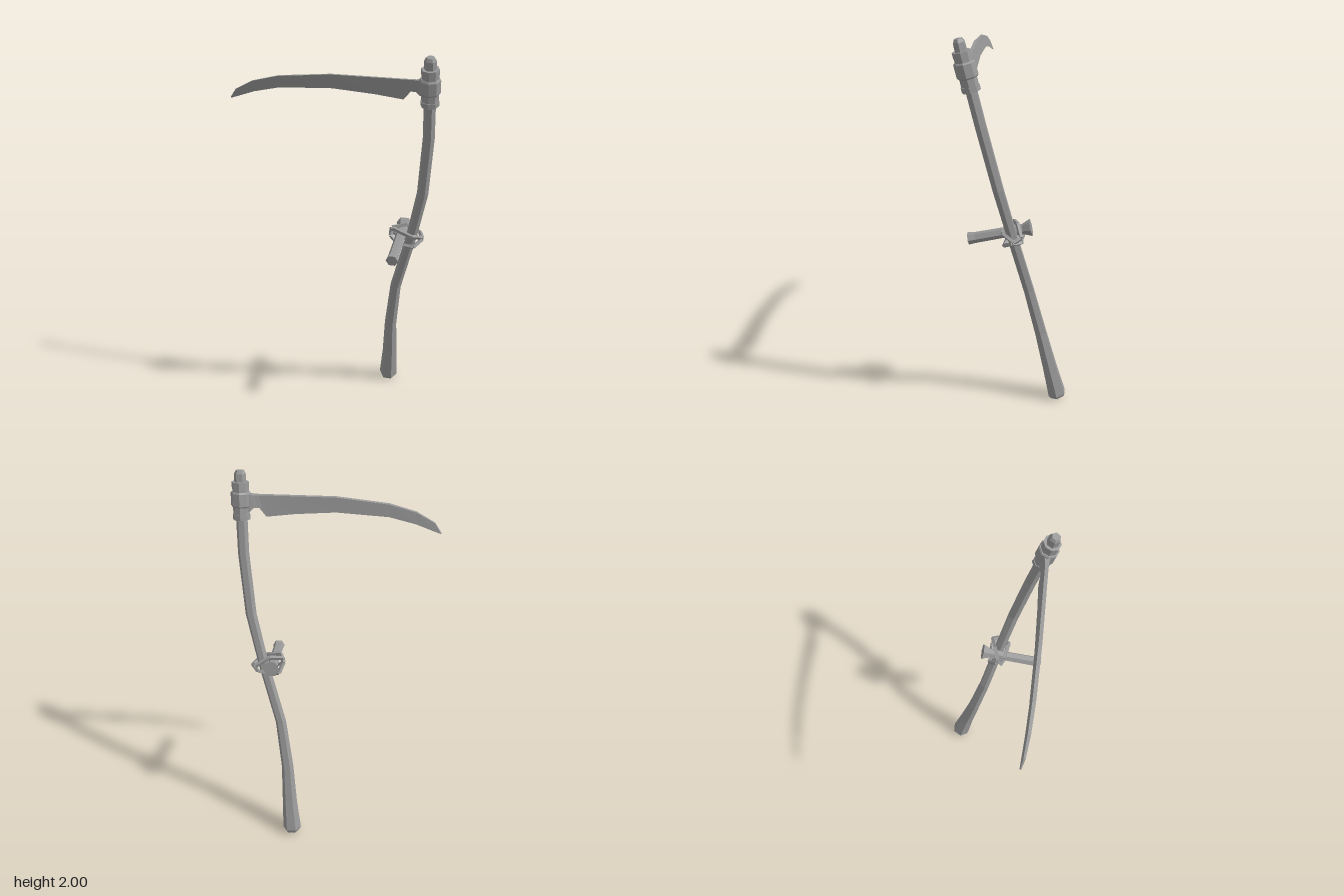
import * as THREE from 'three';

const mat = new THREE.MeshStandardMaterial({ color: 0x999999, flatShading: true });

// The whole tool leans forward: depth grows with height
const leanZ = (y) => -0.219 + (y - 0.02) * 0.2295;

function mesh(name, geometry) {
  geometry.computeVertexNormals();
  const m = new THREE.Mesh(geometry, mat);
  m.name = name;
  return m;
}

// Skin a list of equal closed rings and cap both ends
function skin(rings) {
  const n = rings[0].length;
  const pos = rings.flat().flatMap((p) => p.toArray());
  const idx = [];
  for (let r = 0; r < rings.length - 1; r++) {
    for (let i = 0; i < n; i++) {
      const a = r * n + i, b = r * n + (i + 1) % n;
      idx.push(a, b, b + n, a, b + n, a + n);
    }
  }
  const last = (rings.length - 1) * n;
  for (let i = 1; i < n - 1; i++) {
    idx.push(0, i + 1, i, last, last + i, last + i + 1);
  }
  const g = new THREE.BufferGeometry();
  g.setAttribute('position', new THREE.Float32BufferAttribute(pos, 3));
  g.setIndex(idx);
  return g;
}

// Polygonal bar through stations [x, y, z, radius]
function bar(stations, sides = 6) {
  const pts = stations.map((s) => new THREE.Vector3(s[0], s[1], s[2]));
  return skin(pts.map((p, i) => {
    const t = pts[Math.min(i + 1, pts.length - 1)].clone().sub(pts[Math.max(i - 1, 0)]).normalize();
    const u = new THREE.Vector3(1, 0, 0);
    u.addScaledVector(t, -u.dot(t)).normalize();
    const v = t.clone().cross(u);
    return Array.from({ length: sides }, (_, k) => {
      const a = (k / sides) * Math.PI * 2, r = stations[i][3];
      return p.clone().addScaledVector(u, r * Math.cos(a)).addScaledVector(v, r * Math.sin(a));
    });
  }));
}

// Same, for parts that follow the lean: stations [x, y, radius]
const leaningBar = (list, sides) => bar(list.map(([x, y, r]) => [x, y, leanZ(y), r]), sides);

export function createModel() {
  const group = new THREE.Group();

  // Curved wooden shaft with a swollen foot
  group.add(mesh('shaft', leaningBar([
    [0.221, 0.011, 0.04], [0.221, 0.03, 0.05], [0.233, 0.2, 0.04], [0.244, 0.42, 0.032],
    [0.278, 0.69, 0.028], [0.365, 1.02, 0.027], [0.424, 1.29, 0.028],
    [0.453, 1.6, 0.028], [0.457, 1.78, 0.028], [0.459, 1.95, 0.027],
  ])));

  // Metal socket: sleeve, bands and end cap
  const socket = new THREE.Group();
  socket.name = 'socket';
  socket.add(
    mesh('socketSleeve', leaningBar([[0.457, 1.775, 0.04], [0.459, 1.942, 0.04]], 8)),
    mesh('lowerBand', leaningBar([[0.457, 1.766, 0.043], [0.457, 1.79, 0.043]], 8)),
    mesh('middleBand', leaningBar([[0.458, 1.825, 0.044], [0.458, 1.832, 0.049], [0.458, 1.89, 0.049], [0.458, 1.897, 0.044]], 8)),
    mesh('upperBand', leaningBar([[0.459, 1.915, 0.042], [0.459, 1.942, 0.042]], 8)),
    mesh('endCap', leaningBar([[0.459, 1.94, 0.029], [0.459, 1.98, 0.028], [0.459, 1.995, 0.02]])),
  );
  group.add(socket);

  // Blade cross-sections: x, spine height, edge height, half thickness at spine and edge
  const blade = [
    [-0.508, 1.733, 1.727, 0.002, 0.001], [-0.475, 1.778, 1.738, 0.005, 0.001],
    [-0.385, 1.826, 1.77, 0.007, 0.001], [-0.255, 1.86, 1.8, 0.008, 0.001],
    [0, 1.885, 1.814, 0.008, 0.001], [0.2, 1.885, 1.8, 0.008, 0.001],
    [0.335, 1.885, 1.784, 0.008, 0.002], [0.35, 1.885, 1.802, 0.008, 0.003],
    [0.37, 1.885, 1.827, 0.008, 0.006], [0.395, 1.885, 1.827, 0.01, 0.01],
    [0.412, 1.887, 1.81, 0.013, 0.013], [0.45, 1.887, 1.81, 0.013, 0.013],
  ];
  group.add(mesh('blade', skin(blade.map(([x, top, low, t, e]) => {
    const zt = leanZ(top) - 0.002, zl = leanZ(low) - 0.006;
    return [
      new THREE.Vector3(x, low, zl + e), new THREE.Vector3(x, low, zl - e),
      new THREE.Vector3(x, top, zt - t), new THREE.Vector3(x, top, zt + t),
    ];
  }))));

  // Cross handle with a flared rear end
  group.add(mesh('handle', bar([
    [0.314, 1.052, -0.077, 0.043], [0.314, 1.049, -0.064, 0.037], [0.313, 1.042, -0.038, 0.026],
    [0.312, 1.015, 0.08, 0.026], [0.312, 0.99, 0.195, 0.027], [0.312, 0.984, 0.23, 0.031],
  ])));

  // Square cord wound twice around handle and shaft in straight runs
  const turns = [
    [0.264, 1.063, 0.008], [0.33, 1.076, -0.012], [0.402, 1.035, -0.033], [0.42, 1.018, 0],
    [0.375, 1.043, 0.058], [0.275, 1.07, 0.036], [0.259, 1.04, 0], [0.28, 1.0, -0.04],
    [0.32, 0.993, -0.03], [0.39, 1.003, -0.033], [0.42, 1.012, 0.008], [0.385, 0.985, 0.05],
    [0.305, 0.986, 0.038], [0.262, 1.026, 0.025],
  ];
  const cord = new THREE.Group();
  cord.name = 'cord';
  turns.forEach((p, i) => {
    const q = turns[(i + 1) % turns.length];
    cord.add(mesh('cordRun', bar([[...p, 0.011], [...q, 0.011]], 4)));
  });
  group.add(cord);

  return group;
}
